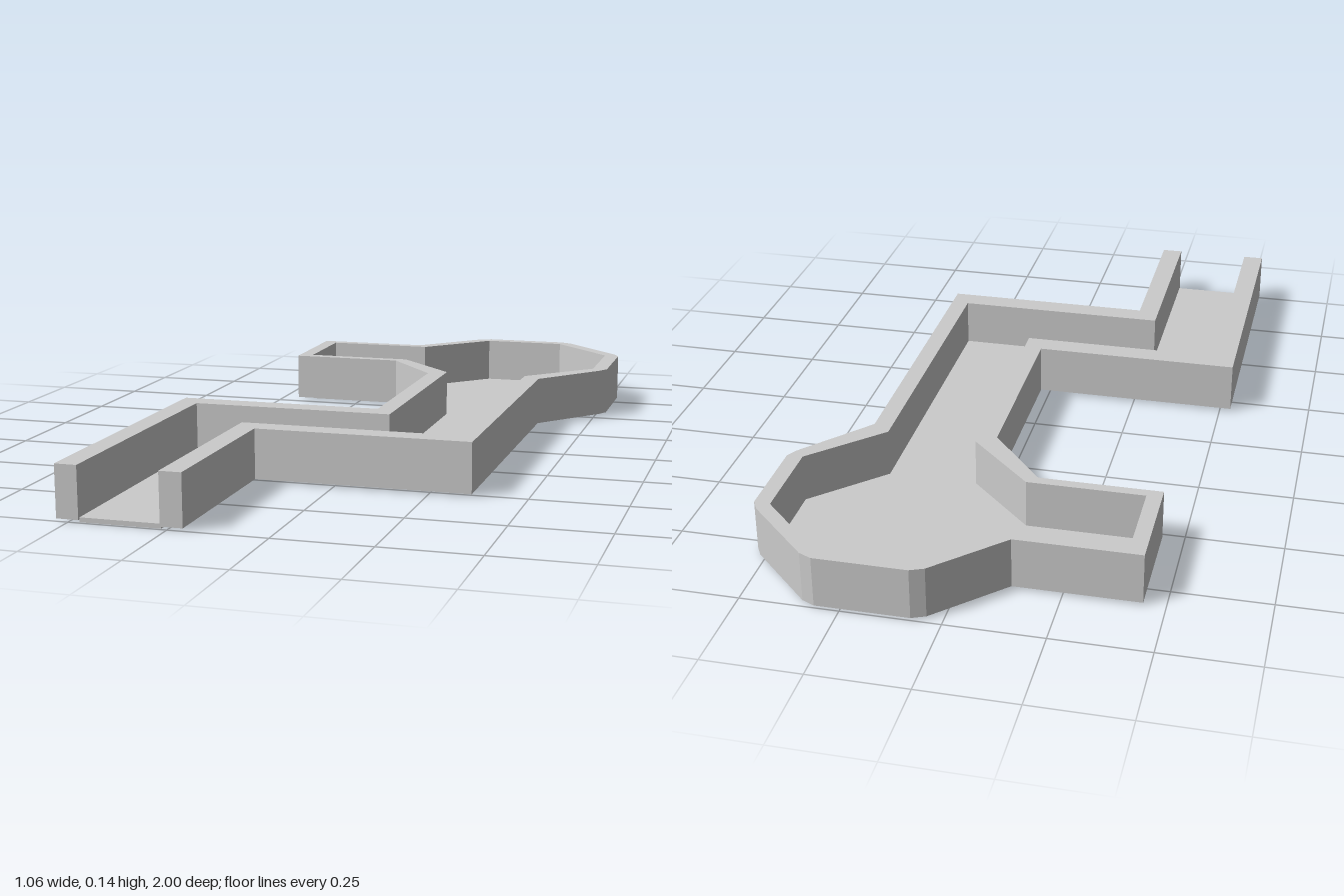
import * as THREE from 'three';

// Plan outlines as [x, z], both running from the open front end, round the room and back.
const outer = [
  [-0.53, 1], [-0.53, 0.195], [0.025, 0.195], [0.025, -0.345], [-0.125, -0.525],
  [-0.445, -0.525], [-0.445, -0.82], [-0.125, -0.82], [0.04, -0.985], [0.075, -1],
  [0.312, -1], [0.345, -0.985], [0.513, -0.82], [0.53, -0.79], [0.53, -0.555],
  [0.513, -0.525], [0.36, -0.345], [0.36, 0.517], [-0.21, 0.517], [-0.21, 1],
];
const inner = [
  [-0.473, 1], [-0.473, 0.257], [0.075, 0.257], [0.075, -0.378], [-0.1, -0.553],
  [-0.405, -0.553], [-0.405, -0.792], [-0.1, -0.792], [0.075, -0.967],
  [0.312, -0.967], [0.488, -0.792], [0.488, -0.553], [0.312, -0.378],
  [0.312, 0.455], [-0.267, 0.455], [-0.267, 1],
];

// Upright slab over a plan outline, from height y0 to y1.
function slab(name, outline, y0, y1) {
  const shape = new THREE.Shape(outline.map(([x, z]) => new THREE.Vector2(x, -z)));
  const geometry = new THREE.ExtrudeGeometry(shape, { depth: y1 - y0, bevelEnabled: false });
  geometry.rotateX(-Math.PI / 2).translate(0, y0, 0);
  const material = new THREE.MeshStandardMaterial({ color: 0xcccccc, flatShading: true });
  const mesh = new THREE.Mesh(geometry, material);
  mesh.name = name;
  return mesh;
}

export function createModel() {
  const group = new THREE.Group();
  group.name = 'corridorAndRoom';

  // One continuous wall, open only at the front end of the corridor
  group.add(slab('wall', [...outer, ...[...inner].reverse()], 0.007, 0.14));

  // Thin floor filling the inside, stopping just short of the opening
  const floorPlan = inner.map(([x, z]) => [x, Math.min(z, 0.993)]);
  group.add(slab('floor', floorPlan, 0, 0.012));

  return group;
}
